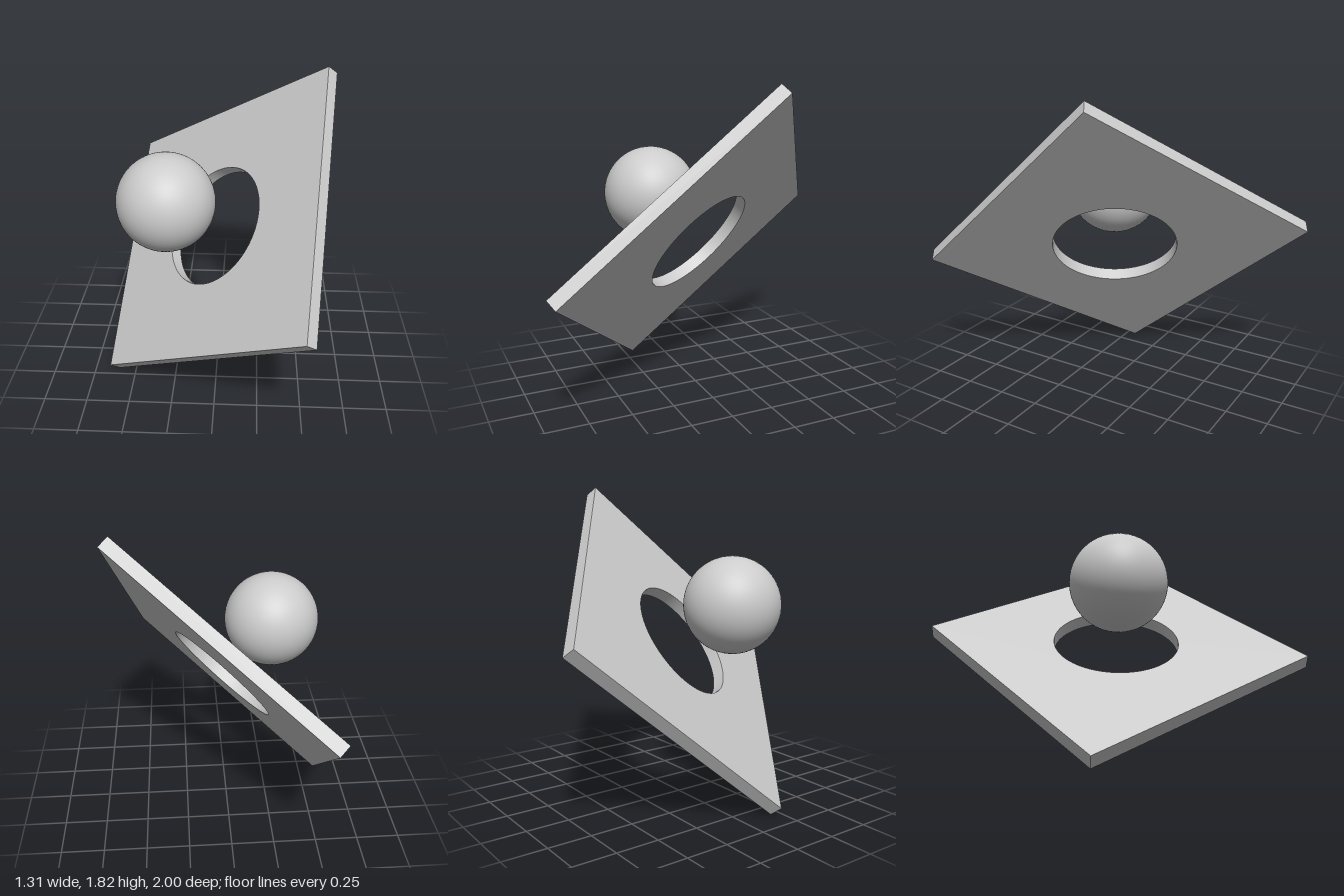
import * as THREE from 'three';
import { toCreasedNormals } from 'three/addons/utils/BufferGeometryUtils.js';

export function createModel() {
  const model = new THREE.Group();
  model.name = 'plateAndBall';

  const lightGrey = new THREE.MeshStandardMaterial({ color: 0xcccccc });
  lightGrey.name = 'lightGrey';

  const SIDE = 1.566, THICK = 0.075, HOLE = 0.363, BALL = 0.277, BALL_OFFSET = 0.405;

  // Square plate with a round hole, lying in the local XY plane
  const h = SIDE / 2;
  const outline = new THREE.Shape([
    new THREE.Vector2(-h, -h), new THREE.Vector2(h, -h),
    new THREE.Vector2(h, h), new THREE.Vector2(-h, h),
  ]);
  outline.holes.push(new THREE.Path().absarc(0, 0, HOLE, 0, Math.PI * 2, true));
  const plateGeometry = new THREE.ExtrudeGeometry(outline, {
    depth: THICK, bevelEnabled: false, curveSegments: 72,
  });
  plateGeometry.translate(0, 0, -THICK / 2);
  const plate = new THREE.Mesh(toCreasedNormals(plateGeometry, 0.6), lightGrey);
  plate.name = 'plate';

  // Ball floating in front of the hole, on its axis
  const ball = new THREE.Mesh(new THREE.SphereGeometry(BALL, 64, 40), lightGrey);
  ball.name = 'ball';
  ball.position.z = BALL_OFFSET;

  // Tilt both together: edge directions of the plate and its normal
  const edgeX = new THREE.Vector3(0.715, 0.492, 0.495).normalize();
  const normal = edgeX.clone().cross(new THREE.Vector3(0.083, 0.638, -0.766)).normalize();
  const edgeY = normal.clone().cross(edgeX);
  const tilted = new THREE.Group();
  tilted.name = 'tiltedAssembly';
  tilted.quaternion.setFromRotationMatrix(new THREE.Matrix4().makeBasis(edgeX, edgeY, normal));
  tilted.position.set(0, 0.913, 0);
  tilted.add(plate, ball);

  model.add(tilted);
  return model;
}
